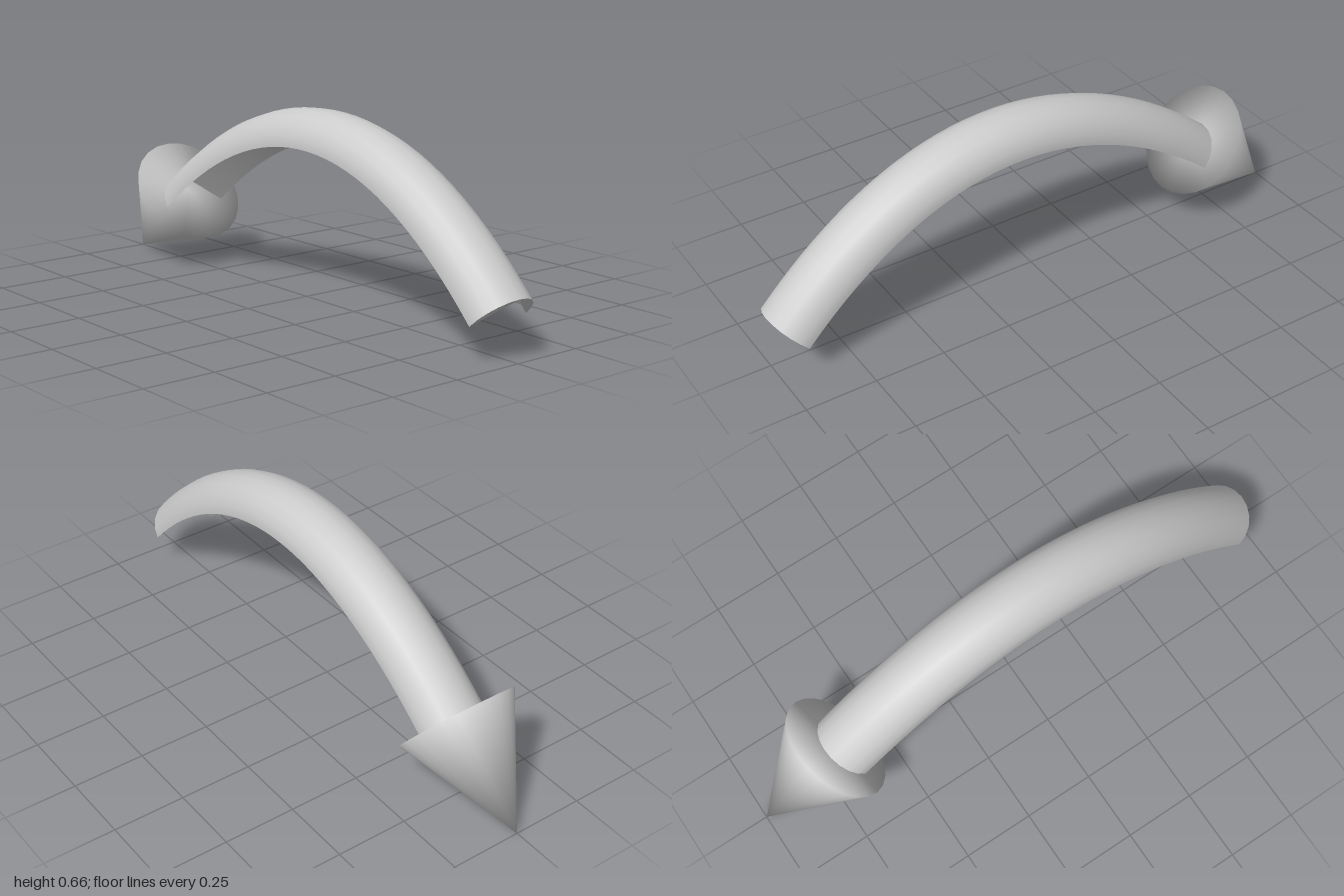
import * as THREE from 'three';
import { ParametricGeometry } from 'three/addons/geometries/ParametricGeometry.js';
import { mergeVertices } from 'three/addons/utils/BufferGeometryUtils.js';

const R = 0.12; // half-round shaft radius
const ARC = 10; // segments over the half round
const HEAD_R = 0.204, HEAD_H = 0.406;
const material = new THREE.MeshStandardMaterial({ color: 0xcccccc, side: THREE.DoubleSide });

// Line between the shaft's two lower edges
const path = new THREE.QuadraticBezierCurve(
  new THREE.Vector2(-0.66, 0.217),
  new THREE.Vector2(0.18, 0.908),
  new THREE.Vector2(0.912, 0.119)
);

// Point at t along the path, raised by h along the normal, z across
function pathPoint(t, h, z, target) {
  const p = path.getPoint(t), d = path.getTangent(t);
  return target.set(p.x - d.y * h, p.y + d.x * h, z);
}

function add(group, name, geometry) {
  const mesh = new THREE.Mesh(geometry, material);
  mesh.name = name;
  group.add(mesh);
}

// Tail plate on one side, between the round top and the straight inner wall
function tailPlate(side) {
  const points = [];
  const rim = (i) => {
    const a = (i / ARC) * Math.PI;
    return pathPoint(1, R * Math.sin(a), side * R * Math.cos(a), new THREE.Vector3());
  };
  for (let i = 1; i < ARC / 2; i++) {
    const [b, c] = side > 0 ? [i + 1, i] : [i, i + 1];
    points.push(rim(0), rim(b), rim(c));
  }
  const g = new THREE.BufferGeometry().setFromPoints(points);
  g.computeVertexNormals();
  return g;
}

// Open-bottomed shaft: round outside, two straight walls meeting at the crown inside
function createShaft() {
  const shaft = new THREE.Group();
  shaft.name = 'shaft';
  add(shaft, 'shaftRoundTop', new ParametricGeometry((u, v, p) =>
    pathPoint(u, R * Math.sin(v * Math.PI), R * Math.cos(v * Math.PI), p), 32, ARC));
  for (const side of [1, -1]) {
    add(shaft, 'shaftInnerWall', new ParametricGeometry((u, v, p) => {
      const w = side > 0 ? v : 1 - v;
      return pathPoint(u, R * (1 - w), side * R * w, p);
    }, 32, 1));
    add(shaft, 'shaftTailPlate', tailPlate(side));
  }
  return shaft;
}

// Closed cone, smooth over the tip and rim
function createHead() {
  const head = new THREE.Group();
  head.name = 'arrowHead';
  const cone = new THREE.ConeGeometry(HEAD_R, HEAD_H, 24);
  cone.deleteAttribute('normal');
  cone.deleteAttribute('uv');
  const smooth = mergeVertices(cone);
  smooth.computeVertexNormals();
  smooth.translate(0, HEAD_H / 2, 0);
  add(head, 'headCone', smooth);
  head.position.set(-0.689, 0.264, 0);
  head.rotation.z = THREE.MathUtils.degToRad(130);
  return head;
}

export function createModel() {
  const model = new THREE.Group();
  model.name = 'curvedArrow';
  model.add(createShaft(), createHead());
  return model;
}
